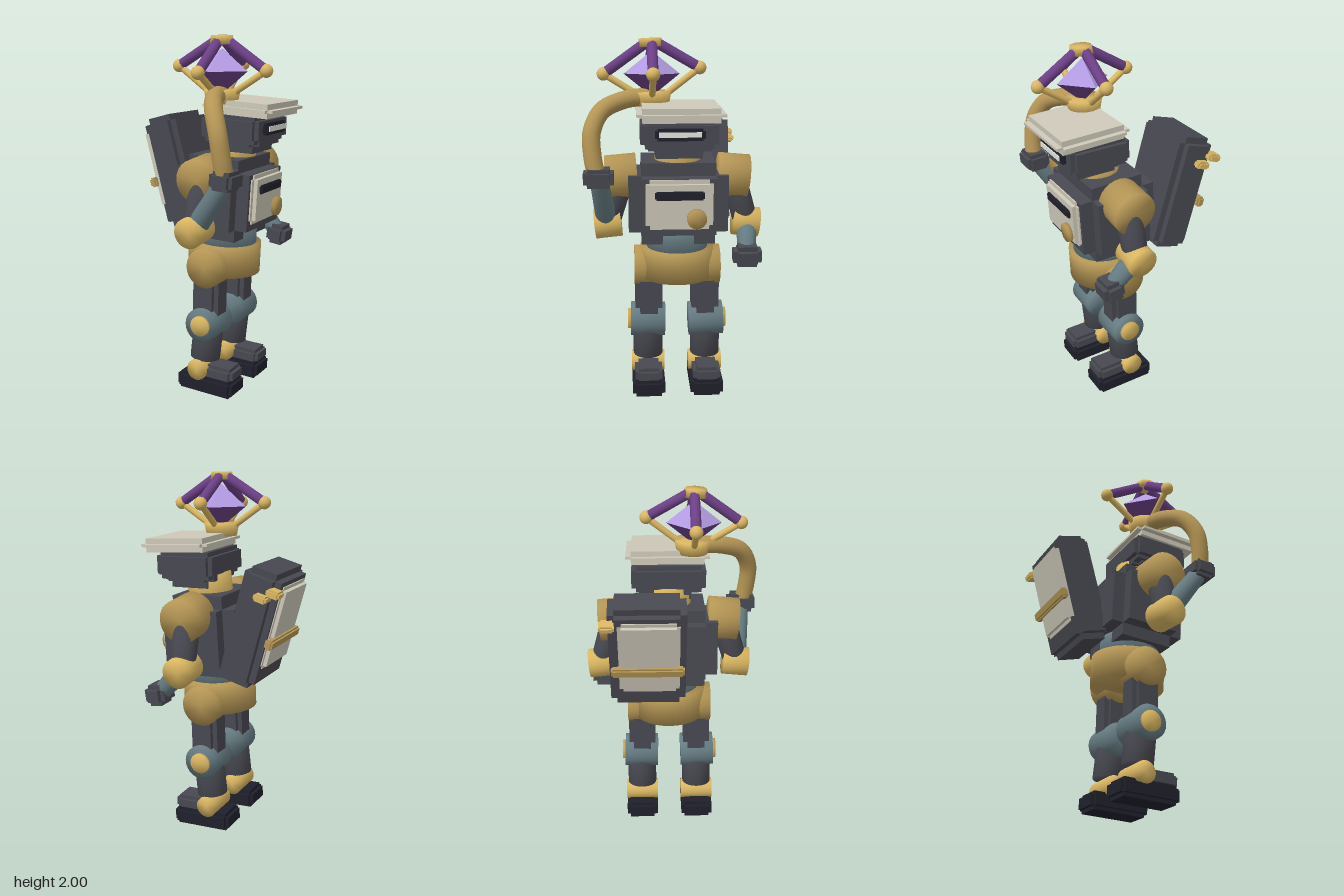
import * as THREE from 'three';
import { mergeGeometries, mergeVertices } from 'three/addons/utils/BufferGeometryUtils.js';

const mat = (name, color) => {
  const m = new THREE.MeshStandardMaterial({ color });
  m.name = name;
  return m;
};

export function createModel() {
  const bronze = mat('bronze', 0xb59655), gold = mat('gold', 0xd9b661);
  const dark = mat('charcoal', 0x484851), navy = mat('nearBlack', 0x20202c);
  const slate = mat('slate', 0x657b82), cream = mat('cream', 0xcdc8b8);
  const white = mat('visorWhite', 0xe6ebe2);
  const purple = mat('purple', 0x6b3f85), lavender = mat('lavender', 0xb39be2);

  const model = new THREE.Group();
  model.name = 'lanternRobot';
  const MID = -0.02; // z of the body's plane of symmetry

  const add = (name, geo, material, pos = [0, 0, 0], tilt = 0, parent = model) => {
    const m = new THREE.Mesh(geo, material);
    m.name = name;
    m.position.set(...pos);
    m.rotation.z = tilt;
    parent.add(m);
    return m;
  };
  // Box with stepped edges: three crossed boxes
  const step = (w, h, d, c) => mergeGeometries([
    new THREE.BoxGeometry(w, h - 2 * c, d - 2 * c),
    new THREE.BoxGeometry(w - 2 * c, h, d - 2 * c),
    new THREE.BoxGeometry(w - 2 * c, h - 2 * c, d),
  ]);
  // Cylinder between two points, softly shaded over its rims
  const rod = (name, a, b, ra, rb, material, sides = 24, parent = model) => {
    const p = new THREE.Vector3(...a), q = new THREE.Vector3(...b);
    let geo = new THREE.CylinderGeometry(rb, ra, p.distanceTo(q), sides);
    geo.deleteAttribute('normal');
    geo.deleteAttribute('uv');
    geo = mergeVertices(geo);
    geo.computeVertexNormals();
    const m = add(name, geo, material, p.clone().add(q).multiplyScalar(0.5).toArray(), 0, parent);
    m.quaternion.setFromUnitVectors(new THREE.Vector3(0, 1, 0), q.sub(p).normalize());
    return m;
  };
  const group = (name, pos, tilt) => {
    const g = new THREE.Group();
    g.name = name;
    g.position.set(...pos);
    g.rotation.z = tilt;
    model.add(g);
    return g;
  };

  // Legs, mirrored about the body plane
  for (const s of [1, -1]) {
    const z = (d) => MID + s * d;
    add('sole', step(0.345, 0.1, 0.185, 0.02), navy, [0.062, 0.062, z(0.165)], -0.05);
    add('footTop', step(0.22, 0.085, 0.155, 0.02), dark, [0.122, 0.135, z(0.165)], -0.04);
    rod('ankle', [0.022, 0.15, z(0.07)], [0.022, 0.15, z(0.26)], 0.06, 0.06, gold);
    rod('shin', [0.028, 0.205, z(0.165)], [0.052, 0.41, z(0.165)], 0.085, 0.085, dark);
    rod('knee', [0.052, 0.415, z(0.068)], [0.052, 0.42, z(0.263)], 0.097, 0.097, slate);
    rod('kneeCap', [0.052, 0.42, z(0.25)], [0.052, 0.42, z(0.28)], 0.057, 0.057, gold);
    add('thigh', step(0.16, 0.36, 0.155, 0.027), dark, [0.055, 0.58, z(0.16)], -0.03);
    rod('hip', [0.062, 0.745, z(0.08)], [0.062, 0.745, z(0.24)], 0.112, 0.112, bronze);
  }
  rod('pelvis', [0.058, 0.69, MID], [0.066, 0.862, MID], 0.207, 0.207, bronze, 32);
  rod('waist', [0.075, 0.82, MID], [0.08, 0.98, MID], 0.17, 0.17, slate, 32);

  // Torso, leaning slightly forward
  const torso = group('torso', [0.087, 1.135, MID], -0.06);
  add('chest', step(0.44, 0.45, 0.54, 0.07), dark, [0, 0, 0], 0, torso);
  add('chestPlate', step(0.06, 0.27, 0.36, 0.022), cream, [0.22, 0.017, 0], 0, torso);
  add('chestSlot', step(0.03, 0.047, 0.26, 0.007), navy, [0.25, 0.072, 0], 0, torso);
  rod('chestKnob', [0.24, -0.052, -0.09], [0.272, -0.052, -0.09], 0.053, 0.053, bronze, 24, torso);

  // Head, visor and flat hat
  rod('neck', [0.11, 1.28, MID], [0.13, 1.46, MID], 0.125, 0.125, gold);
  add('jaw', step(0.3, 0.16, 0.33, 0.04), dark, [0.185, 1.465, MID], -0.03);
  add('headBlock', step(0.34, 0.15, 0.41, 0.025), dark, [0.185, 1.515, MID], -0.03);
  add('visorFrame', step(0.05, 0.063, 0.26, 0.012), navy, [0.357, 1.515, MID], -0.03);
  add('visorStrip', new THREE.BoxGeometry(0.008, 0.027, 0.22), white, [0.384, 1.517, MID], -0.03);
  add('hat', step(0.41, 0.075, 0.46, 0.03), cream, [0.235, 1.625, -0.025], -0.06);

  // Arms, shared down to the elbow
  for (const s of [1, -1]) {
    const z = (d) => MID + s * d;
    rod('shoulder', [0.1, 1.27, z(0.22)], [0.1, 1.255, z(0.39)], 0.12, 0.12, bronze);
    rod('upperArm', [0.1, 1.25, z(0.31)], [0.088, 1.0, z(0.385)], 0.073, 0.068, dark);
    rod('elbow', [0.087, 1.005, z(0.312)], [0.087, 0.99, z(0.457)], 0.083, 0.083, gold);
  }
  rod('raisedForearm', [0.09, 1.0, 0.37], [0.29, 1.28, 0.405], 0.06, 0.048, slate);
  add('raisedHand', step(0.13, 0.1, 0.16, 0.02), dark, [0.292, 1.285, 0.405], -0.08);
  rod('loweredForearm', [0.09, 1.0, -0.41], [0.225, 0.85, -0.395], 0.06, 0.048, slate);
  add('loweredHand', step(0.12, 0.115, 0.155, 0.025), dark, [0.24, 0.84, -0.395], -0.15);

  // Backpack, leaning back, with rear plate, strap and side clasps
  const pack = group('backpack', [-0.257, 1.238, -0.138], 0.262);
  add('packBody', step(0.21, 0.64, 0.405, 0.035), dark, [0, 0, 0], 0, pack);
  add('packPlate', step(0.06, 0.46, 0.32, 0.02), cream, [-0.1, 0.03, 0.008], 0, pack);
  add('packStrap', step(0.045, 0.055, 0.385, 0.01), bronze, [-0.128, -0.042, 0], 0, pack);
  for (const [x, y] of [[-0.095, 0.235], [-0.035, 0.19]])
    add('packClasp', step(0.075, 0.04, 0.08, 0.01), gold, [x, y, -0.205], 0, pack);

  // Curved staff from the raised hand to the lantern
  const path = new THREE.CatmullRomCurve3([
    [0.292, 1.27, 0.412], [0.282, 1.4, 0.435], [0.262, 1.52, 0.437], [0.212, 1.625, 0.385],
    [0.155, 1.675, 0.28], [0.125, 1.69, 0.19], [0.115, 1.69, 0.11],
  ].map((p) => new THREE.Vector3(...p)));
  add('staff', new THREE.TubeGeometry(path, 48, 0.048, 20), bronze);

  // Lantern cage: four arms round a crystal
  const cx = 0.115, cz = 0.118;
  rod('lanternBase', [cx - 0.002, 1.648, cz - 0.008], [cx, 1.722, cz - 0.006], 0.085, 0.1, gold, 16);
  rod('lanternCap', [cx + 0.004, 1.957, cz + 0.006], [cx + 0.005, 2, cz + 0.008], 0.067, 0.06, gold, 8);
  for (let i = 0; i < 4; i++) {
    const dx = Math.round(Math.cos(i * Math.PI / 2)), dz = Math.round(Math.sin(i * Math.PI / 2));
    const node = [cx + dx * 0.26, 1.83 - dx * 0.01 - dz * 0.016, cz + dz * 0.257];
    add('cageJoint', new THREE.SphereGeometry(0.036, 16, 12), gold, node);
    rod('cageUpperArm', node, [cx + dx * 0.035, 1.972, cz + dz * 0.035], 0.028, 0.028, purple, 12);
    rod('cageLowerArm', node, [cx + dx * 0.06, 1.695, cz + dz * 0.06], 0.018, 0.018, gold, 12);
  }
  const facet = (h) => {
    const geo = new THREE.ConeGeometry(0.15, h, 4).toNonIndexed();
    geo.computeVertexNormals();
    return geo;
  };
  add('crystalTop', facet(0.12), lavender, [cx + 0.003, 1.875, cz]);
  add('crystalBottom', facet(0.12), purple, [cx + 0.003, 1.755, cz]).rotation.x = Math.PI;

  return model;
}
